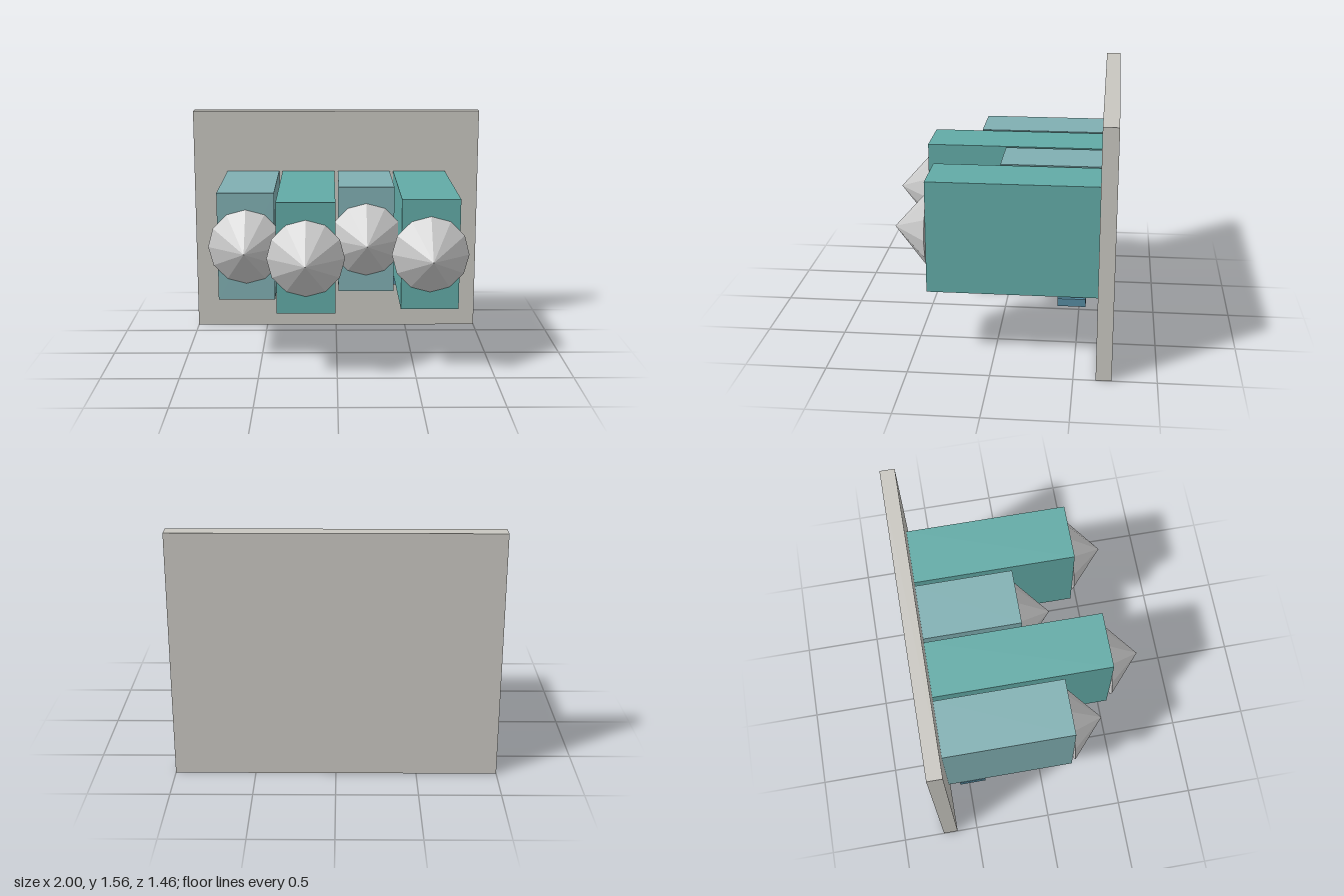
import * as THREE from 'three';

const WALL_FRONT = -0.635;

function material(color) {
  return new THREE.MeshStandardMaterial({ color, flatShading: true });
}

// Box given by its min and max corners
function box(name, [x0, y0, z0], [x1, y1, z1], mat) {
  const mesh = new THREE.Mesh(new THREE.BoxGeometry(x1 - x0, y1 - y0, z1 - z0), mat);
  mesh.position.set((x0 + x1) / 2, (y0 + y1) / 2, (z0 + z1) / 2);
  mesh.name = name;
  return mesh;
}

export function createModel() {
  const model = new THREE.Group();
  model.name = 'wallWithSpikedBlocks';

  const wallMat = material(0xc8c6c0);
  const teal = material(0x62aaa6);
  const paleTeal = material(0x80afb2);
  const blue = material(0x558aa0);
  const grey = material(0xcccccc);

  // Upright back wall
  model.add(box('wall', [-1, 0, -0.73], [1, 1.56, WALL_FRONT], wallMat));

  // Twelve-sided spike pointing forward, base at z = 0
  const spikeHeight = 0.215;
  const spikeGeometry = new THREE.ConeGeometry(0.243, spikeHeight, 12)
    .rotateX(Math.PI / 2)
    .translate(0, 0, spikeHeight / 2);

  // Four blocks sliding out to different lengths, each with a spike and a small bar below
  const halfWidth = 0.183;
  [0.195, 0.51, -0.005, 0.41].forEach((front, i) => {
    const x = -0.585 + i * 0.39;
    const unit = new THREE.Group();
    unit.name = `ram${i + 1}`;

    unit.add(box('block', [x - halfWidth, 0.43, WALL_FRONT], [x + halfWidth, 1.135, front],
      i % 2 ? teal : paleTeal));

    const spike = new THREE.Mesh(spikeGeometry, grey);
    spike.name = 'spike';
    spike.position.set(x, 0.783, front);
    unit.add(spike);

    unit.add(box('lowerBar', [x - halfWidth, 0.37, -0.56], [x + halfWidth, 0.418, -0.39], blue));
    model.add(unit);
  });

  return model;
}
